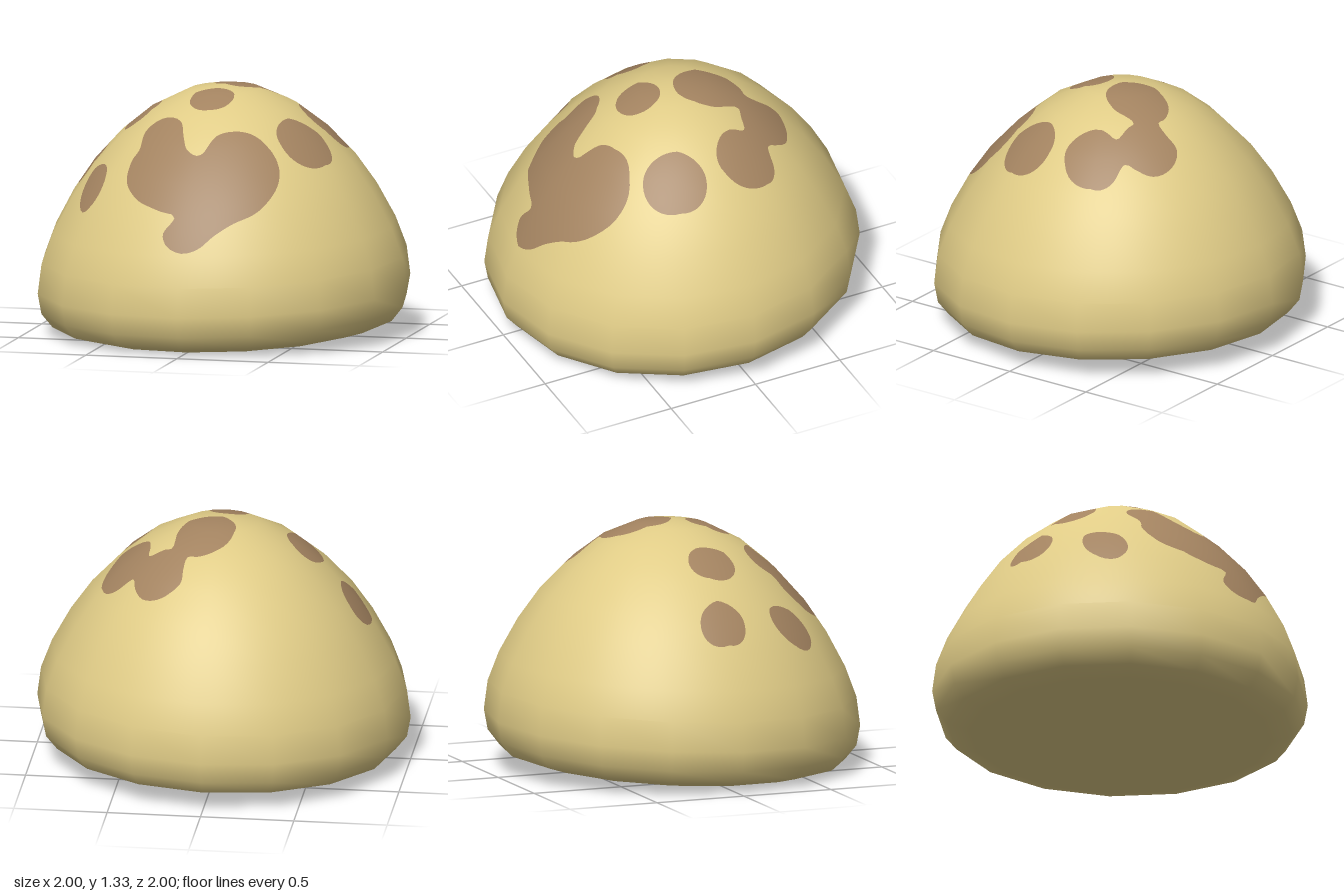
import * as THREE from 'three';
import { mergeVertices } from 'three/addons/utils/BufferGeometryUtils.js';

const shellMat = new THREE.MeshStandardMaterial({ color: 0xdfcb86 });
shellMat.name = 'pale tan';
const spotMat = new THREE.MeshStandardMaterial({ color: 0xa38360 });
spotMat.name = 'brown';

// Dome profile (radius, height) from the hollowed underside to the crown
const PROFILE = [
  [0, 0.08], [0.4, 0.06], [0.8, 0.035], [0.92, 0.07], [0.98, 0.145], [1, 0.255], [0.98, 0.41], [0.92, 0.57],
  [0.82, 0.755], [0.705, 0.92], [0.555, 1.08], [0.39, 1.21], [0.19, 1.305], [0, 1.33],
];

// Oval spots seen from above: x, z, half width, half depth, turn
const OVALS = [
  [-0.71, 0, 0.083, 0.127, 0.08],
  [-0.43, 0.05, 0.098, 0.13, 0.08],
  [-0.015, 0.195, 0.118, 0.118, 0],
  [-0.605, 0.43, 0.072, 0.13, 0.27],
  [0.5, 0.23, 0.125, 0.17, -0.5],
];

// Outline of the large front blotch in x, y
const FRONT_BLOTCH = [
  [0.02, 1.03], [0.08, 1.12], [0.2, 1.14], [0.32, 1.09], [0.42, 0.98], [0.44, 0.88], [0.37, 0.76], [0.25, 0.7],
  [0.16, 0.64], [0.08, 0.57], [0, 0.55], [-0.09, 0.58], [-0.12, 0.64], [-0.06, 0.73], [-0.15, 0.75], [-0.3, 0.8],
  [-0.38, 0.87], [-0.38, 0.97], [-0.345, 1.03], [-0.34, 1.11], [-0.25, 1.18], [-0.14, 1.18], [-0.1, 1.11], [-0.06, 1.05],
];

// Outline of the joined blotch on the crown in x, z
const CROWN_BLOTCH = [
  [-0.08, -0.13], [-0.06, -0.24], [0, -0.32], [0.09, -0.36], [0.15, -0.36], [0.165, -0.42], [0.17, -0.49], [0.22, -0.53],
  [0.3, -0.53], [0.38, -0.49], [0.425, -0.42], [0.44, -0.35], [0.54, -0.34], [0.605, -0.29], [0.63, -0.19], [0.605, -0.09],
  [0.53, -0.025], [0.46, -0.035], [0.39, -0.1], [0.37, -0.18], [0.37, -0.245], [0.3, -0.26], [0.245, -0.27], [0.235, -0.22],
  [0.23, -0.13], [0.18, -0.04], [0.09, 0.01], [0, -0.005], [-0.06, -0.06],
];

function outline(points, count) {
  const curve = new THREE.CatmullRomCurve3(points.map(([a, b]) => new THREE.Vector3(a, b, 0)), true);
  return curve.getPoints(count);
}
const frontLine = outline(FRONT_BLOTCH, 96);
const crownLine = outline(CROWN_BLOTCH, 96);

// Signed distance to a closed outline, positive inside
function insideOutline(line, a, b) {
  let inside = false, best = Infinity;
  for (let i = 0; i < line.length - 1; i++) {
    const p = line[i], q = line[i + 1];
    const dx = q.x - p.x, dy = q.y - p.y;
    const t = THREE.MathUtils.clamp(((a - p.x) * dx + (b - p.y) * dy) / (dx * dx + dy * dy || 1), 0, 1);
    best = Math.min(best, Math.hypot(a - p.x - t * dx, b - p.y - t * dy));
    if ((p.y > b) !== (q.y > b) && a < p.x + ((b - p.y) / dy) * dx) inside = !inside;
  }
  return inside ? best : -best;
}

// Positive where the surface belongs to a spot
function spotField({ x, y, z }) {
  if (y < 0.4) return -1;
  let f = insideOutline(crownLine, x, z);
  if (z > 0) f = Math.max(f, insideOutline(frontLine, x, y));
  for (const [cx, cz, rx, rz, turn] of OVALS) {
    const c = Math.cos(turn), s = Math.sin(turn);
    const u = c * (x - cx) - s * (z - cz), v = s * (x - cx) + c * (z - cz);
    f = Math.max(f, (1 - Math.hypot(u / rx, v / rz)) * Math.min(rx, rz));
  }
  return f;
}

function mixVertex(a, b, t) {
  return { p: a.p.clone().lerp(b.p, t), n: a.n.clone().lerp(b.n, t).normalize() };
}

// Keep the part of a triangle on one side of the spot border
function clip(tri, sign, out) {
  const poly = [];
  tri.forEach((a, i) => {
    const b = tri[(i + 1) % 3];
    const fa = a.f * sign, fb = b.f * sign;
    if (fa >= 0) poly.push(a);
    if ((fa >= 0) !== (fb >= 0)) poly.push(mixVertex(a, b, fa / (fa - fb)));
  });
  for (let i = 1; i + 1 < poly.length; i++) out.push(poly[0], poly[i], poly[i + 1]);
}

function buildMesh(name, vertices, material) {
  const g = new THREE.BufferGeometry();
  g.setAttribute('position', new THREE.Float32BufferAttribute(vertices.flatMap((v) => v.p.toArray()), 3));
  g.setAttribute('normal', new THREE.Float32BufferAttribute(vertices.flatMap((v) => v.n.toArray()), 3));
  const mesh = new THREE.Mesh(mergeVertices(g, 1e-5), material);
  mesh.name = name;
  return mesh;
}

export function createModel() {
  // Sixteen-sided dome, its level sheared slightly down to the front and right
  const dome = new THREE.LatheGeometry(PROFILE.map(([r, y]) => new THREE.Vector2(r, y)), 16);
  const pos = dome.attributes.position, nor = dome.attributes.normal;
  for (let i = 0; i < pos.count; i++) {
    if (Math.hypot(pos.getX(i), pos.getZ(i)) < 1e-4) nor.setXYZ(i, 0, pos.getY(i) > 1 ? 1 : -1, 0);
  }
  dome.applyMatrix4(new THREE.Matrix4().set(1, 0, 0, 0, 0.02, 1, -0.04, 0, 0, 0, 1, 0, 0, 0, 0, 1));

  // Divide the upper facets finely and sort the pieces into shell and spots
  const shell = [], spots = [];
  const index = dome.index;
  for (let i = 0; i < index.count; i += 3) {
    const [a, b, c] = [0, 1, 2].map((k) => {
      const j = index.getX(i + k);
      return { p: new THREE.Vector3().fromBufferAttribute(pos, j), n: new THREE.Vector3().fromBufferAttribute(nor, j) };
    });
    if (new THREE.Triangle(a.p, b.p, c.p).getArea() < 1e-6) continue;
    if (Math.max(a.p.y, b.p.y, c.p.y) < 0.5) {
      shell.push(a, b, c);
      continue;
    }
    const n = 10;
    const grid = [];
    for (let r = 0; r <= n; r++) {
      const left = mixVertex(a, b, r / n), right = mixVertex(a, c, r / n);
      grid.push([]);
      for (let k = 0; k <= r; k++) {
        const v = mixVertex(left, right, r ? k / r : 0);
        v.f = spotField(v.p) || 1e-9;
        grid[r].push(v);
      }
    }
    for (let r = 0; r < n; r++) {
      for (let k = 0; k <= r; k++) {
        const tris = [[grid[r][k], grid[r + 1][k], grid[r + 1][k + 1]]];
        if (k < r) tris.push([grid[r][k], grid[r + 1][k + 1], grid[r][k + 1]]);
        for (const t of tris) {
          clip(t, -1, shell);
          clip(t, 1, spots);
        }
      }
    }
  }

  const model = new THREE.Group();
  model.name = 'spottedDome';
  model.add(buildMesh('shell', shell, shellMat), buildMesh('spots', spots, spotMat));
  return model;
}
